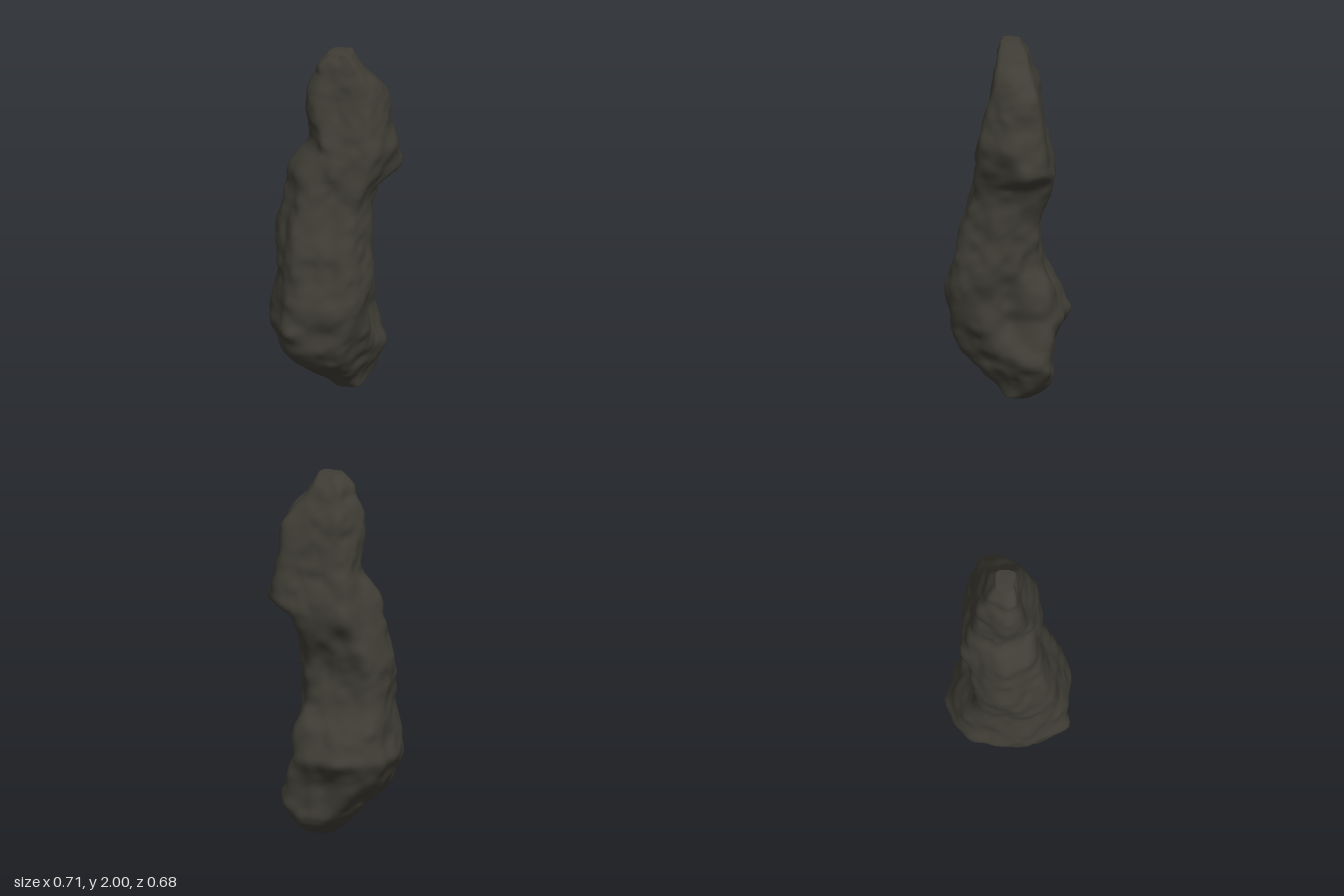
import * as THREE from 'three';

// Cross-sections of the rock: height, then the reach on each side
// as min and max along x, along z and along the two slanting axes
const SECTIONS = [
  [0.0, -0.03, 0.14, -0.13, 0.01, 0.0, 0.17, -0.1, 0.05],
  [0.05, -0.08, 0.195, -0.23, 0.05, -0.05, 0.23, -0.1, 0.11],
  [0.14, -0.17, 0.22, -0.24, 0.13, -0.19, 0.29, -0.14, 0.18],
  [0.22, -0.25, 0.265, -0.25, 0.25, -0.29, 0.325, -0.18, 0.25],
  [0.3, -0.31, 0.22, -0.25, 0.285, -0.33, 0.31, -0.21, 0.33],
  [0.44, -0.35, 0.2, -0.315, 0.32, -0.37, 0.28, -0.255, 0.375],
  [0.6, -0.33, 0.195, -0.26, 0.325, -0.35, 0.255, -0.275, 0.365],
  [0.73, -0.31, 0.21, -0.185, 0.29, -0.33, 0.185, -0.24, 0.32],
  [0.93, -0.35, 0.22, -0.17, 0.25, -0.31, 0.185, -0.21, 0.31],
  [1.12, -0.31, 0.215, -0.22, 0.185, -0.27, 0.215, -0.2, 0.285],
  [1.22, -0.32, 0.235, -0.25, 0.17, -0.235, 0.27, -0.22, 0.265],
  [1.29, -0.3, 0.375, -0.255, 0.165, -0.24, 0.37, -0.24, 0.25],
  [1.46, -0.15, 0.335, -0.22, 0.15, -0.13, 0.34, -0.255, 0.22],
  [1.75, -0.185, 0.255, -0.17, 0.075, -0.14, 0.295, -0.195, 0.15],
  [1.93, -0.13, 0.14, -0.115, 0.055, -0.11, 0.14, -0.13, 0.11],
  [2.0, -0.05, 0.085, -0.07, 0.035, -0.04, 0.1, -0.08, 0.05],
];
const AXES = [[1, 0], [0, 1], [0.84, -0.545], [-0.84, -0.545]];

// Local knobs and hollows: x, y, z, radius, outward push
const KNOBS = [
  [0.24, 0.2, -0.2, 0.08, 0.015],
  [-0.33, 0.42, -0.2, 0.06, 0.015],
  [-0.1, 0.43, -0.32, 0.06, 0.02],
  [-0.23, 0.44, 0.31, 0.06, 0.015],
  [0.2, 0.42, -0.03, 0.09, -0.055],
  [0.2, 0.58, -0.03, 0.09, -0.045],
  [0.13, 0.46, -0.31, 0.09, -0.03],
  [0.2, 0.48, 0.27, 0.12, -0.025],
  [0.0, 1.99, 0.03, 0.035, -0.012],
];

// Seeded smooth lattice noise, -1 to 1
function hash(x, y, z) {
  const s = Math.sin(x * 127.1 + y * 311.7 + z * 74.7 + 5.3) * 43758.5453;
  return (s - Math.floor(s)) * 2 - 1;
}
function noise(x, y, z) {
  const f = [x, y, z].map(Math.floor);
  const [u, v, w] = [x - f[0], y - f[1], z - f[2]].map((t) => t * t * (3 - 2 * t));
  const mix = THREE.MathUtils.lerp;
  const edge = (j, k) => mix(hash(f[0], f[1] + j, f[2] + k), hash(f[0] + 1, f[1] + j, f[2] + k), u);
  return mix(mix(edge(0, 0), edge(1, 0), v), mix(edge(0, 1), edge(1, 1), v), w);
}

// Section values at any height, softened over a short span
function sectionAt(y) {
  let i = 0;
  while (i < SECTIONS.length - 2 && SECTIONS[i + 1][0] < y) i++;
  const a = SECTIONS[i], b = SECTIONS[i + 1];
  const t = (y - a[0]) / (b[0] - a[0]);
  return a.map((v, k) => THREE.MathUtils.lerp(v, b[k], t));
}
function softSection(y) {
  const span = Math.min(0.025, y, 2 - y);
  const [low, mid, high] = [sectionAt(y - span), sectionAt(y), sectionAt(y + span)];
  return mid.map((v, k) => (low[k] + 2 * v + high[k]) / 4);
}

// Rounded eight-sided outline, roughened by noise and knobs
function rockPoint(y, angle, section) {
  const cx = (section[1] + section[2]) / 2, cz = (section[3] + section[4]) / 2;
  const dx = Math.cos(angle), dz = Math.sin(angle);
  let sum = 0;
  AXES.forEach(([ax, az], k) => {
    const along = dx * ax + dz * az;
    const bound = section[along > 0 ? 2 * k + 2 : 2 * k + 1] - (cx * ax + cz * az);
    sum += (along / bound) ** 12;
  });
  const radius = 1.01 * sum ** (-1 / 12);
  const x = cx + dx * radius, z = cz + dz * radius;
  let push = 0.017 * noise(x * 9, y * 9, z * 9) + 0.009 * noise(x * 18 + 9, y * 18, z * 18);
  push *= Math.min(1, y * 8 + 0.1, (2 - y) * 8 + 0.1);
  for (const [kx, ky, kz, r, amount] of KNOBS) {
    push += amount * Math.exp(-((x - kx) ** 2 + (y - ky) ** 2 + (z - kz) ** 2) / (r * r));
  }
  return [x + dx * push, y, z + dz * push];
}

// Loft closed rings from the foot to the tip and close both ends
function rockGeometry(rings = 150, sides = 96) {
  const points = [], index = [];
  for (let i = 0; i <= rings; i++) {
    // Rings gather towards both ends
    const t = i / rings;
    const y = 2 * (t - Math.sin(t * Math.PI * 2) * 0.1);
    const section = softSection(y);
    for (let j = 0; j < sides; j++) points.push(...rockPoint(y, (j / sides) * Math.PI * 2, section));
  }
  for (let i = 0; i < rings; i++) {
    for (let j = 0; j < sides; j++) {
      const a = i * sides + j, b = i * sides + ((j + 1) % sides);
      index.push(a, a + sides, b, b, a + sides, b + sides);
    }
  }
  const foot = points.length / 3, tip = foot + 1, last = rings * sides;
  points.push(0.055, 0, -0.06, 0.018, 2, -0.018);
  for (let j = 0; j < sides; j++) {
    const k = (j + 1) % sides;
    index.push(foot, j, k, tip, last + k, last + j);
  }
  const geometry = new THREE.BufferGeometry();
  geometry.setAttribute('position', new THREE.Float32BufferAttribute(points, 3));
  geometry.setIndex(index);
  geometry.computeVertexNormals();
  return geometry;
}

export function createModel() {
  const group = new THREE.Group();
  group.name = 'standingRock';
  const stone = new THREE.MeshStandardMaterial({ color: 0x3f3d35 });
  stone.name = 'darkStone';
  const rock = new THREE.Mesh(rockGeometry(), stone);
  rock.name = 'rockPillar';
  group.add(rock);
  return group;
}
